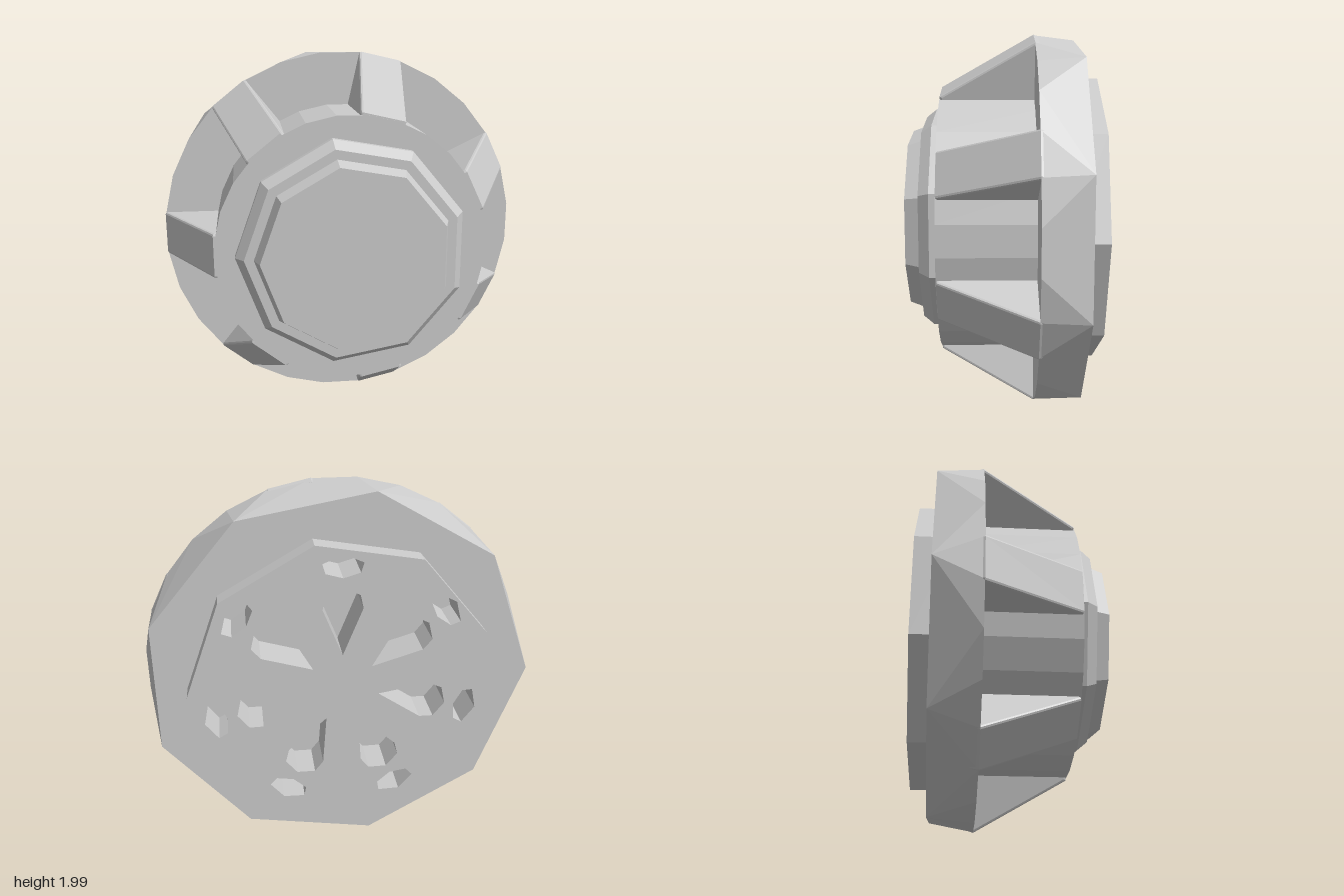
import * as THREE from 'three';
import { ConvexGeometry } from 'three/addons/geometries/ConvexGeometry.js';

const TAU = Math.PI * 2;
const RIBS = 7;
const material = new THREE.MeshStandardMaterial({ color: 0xcccccc, flatShading: true });
const thinMaterial = new THREE.MeshStandardMaterial({
  color: 0xcccccc, flatShading: true, side: THREE.DoubleSide,
});

// Corners of a regular polygon; phase is the angle of the first corner
function polygon(n, r, phase) {
  return Array.from({ length: n }, (_, i) => {
    const a = phase + (i / n) * TAU;
    return new THREE.Vector2(r * Math.cos(a), r * Math.sin(a));
  });
}

// Faceted solid turned around the z axis from [radius, z] pairs, back to front
function turned(profile, n, phase) {
  const points = profile.map(([r, z]) => new THREE.Vector2(r, z));
  return new THREE.LatheGeometry(points, n, phase + Math.PI / 2).rotateX(Math.PI / 2);
}

// Outline mirrored about the radial axis, then turned to the given angle
function radialHole(half, angle) {
  const mirrored = half.filter(([, t]) => t > 0).reverse().map(([r, t]) => [r, -t]);
  return new THREE.Path([...half, ...mirrored].map(([r, t]) =>
    new THREE.Vector2(r, t).rotateAround(new THREE.Vector2(), angle)));
}

// Side skin joining the 28-sided front ring to the nine-sided back ring
function rimGeometry() {
  const front = polygon(28, 1, TAU / 56).map(p => new THREE.Vector3(p.x, p.y, -0.16));
  const back = polygon(9, 1, Math.PI).map(p => new THREE.Vector3(p.x, p.y, -0.4));
  const source = new ConvexGeometry([...front, ...back]).attributes.position;
  const kept = [];
  for (let i = 0; i < source.count; i += 3) {
    const z = [0, 1, 2].map(k => source.getZ(i + k));
    if (Math.max(...z) - Math.min(...z) < 0.01) continue; // drop the flat caps
    for (let k = 0; k < 3; k++) kept.push(source.getX(i + k), source.getY(i + k), z[k]);
  }
  const geometry = new THREE.BufferGeometry();
  geometry.setAttribute('position', new THREE.Float32BufferAttribute(kept, 3));
  geometry.computeVertexNormals();
  return geometry;
}

// Sloping wedge with softened edges, pointing along +x
function ribGeometry() {
  const width = 0.24, bevel = 0.012;
  const side = new THREE.Shape([
    [0.62, -0.2], [0.985, -0.2], [0.997, -0.16], [0.718, 0.328], [0.62, 0.328],
  ].map(([r, z]) => new THREE.Vector2(r, z)));
  return new THREE.ExtrudeGeometry(side, {
    depth: width - 2 * bevel, bevelEnabled: true, bevelSize: bevel,
    bevelThickness: bevel, bevelOffset: -bevel, bevelSegments: 2,
  }).translate(0, 0, bevel - width / 2).rotateX(Math.PI / 2);
}

// Nine-sided plate pierced by a ring of teardrops and a ring of small holes
function backPlateGeometry() {
  const shape = new THREE.Shape(polygon(9, 0.78, 0));
  const teardrop = [[0.19, 0], [0.44, 0.1], [0.51, 0.085], [0.55, 0]];
  const smallHole = [[0.6, 0], [0.625, 0.085], [0.675, 0.1], [0.72, 0]];
  for (let i = 0; i < RIBS; i++) {
    const angle = Math.PI / 2 + (i / RIBS) * TAU;
    shape.holes.push(radialHole(teardrop, angle), radialHole(smallHole, angle));
  }
  return new THREE.ExtrudeGeometry(shape, { depth: 0.2, bevelEnabled: false })
    .translate(0, 0, -0.5);
}

export function createModel() {
  const group = new THREE.Group();
  const add = (name, geometry, mat = material) => {
    const mesh = new THREE.Mesh(geometry, mat);
    mesh.name = name;
    mesh.position.y = 1;
    group.add(mesh);
    return mesh;
  };

  // Drum with its flat shoulder
  add('body', turned([[1, -0.16], [0.715, -0.16], [0.715, 0.33], [0, 0.33]], 28, TAU / 56));

  // Stepped front cap
  add('frontCap', turned([
    [0.61, 0.33], [0.61, 0.37], [0.565, 0.425], [0.515, 0.425], [0.487, 0.5], [0, 0.5],
  ], 9, Math.PI));

  // Rim and its flat back border
  add('rim', rimGeometry());
  const border = new THREE.Shape(polygon(9, 1, Math.PI));
  border.holes.push(new THREE.Path(polygon(9, 0.78, 0)));
  add('rimBack', new THREE.ShapeGeometry(border).translate(0, 0, -0.4), thinMaterial);

  // Back plate and the floor behind its holes
  add('backPlate', backPlateGeometry());
  add('holeFloor', new THREE.CircleGeometry(0.75, 28).rotateY(Math.PI).translate(0, 0, -0.3));

  // Ribs around the drum
  const rib = ribGeometry();
  for (let i = 0; i < RIBS; i++) {
    add('rib', rib).rotation.z = Math.PI + (i / RIBS) * TAU;
  }
  return group;
}
